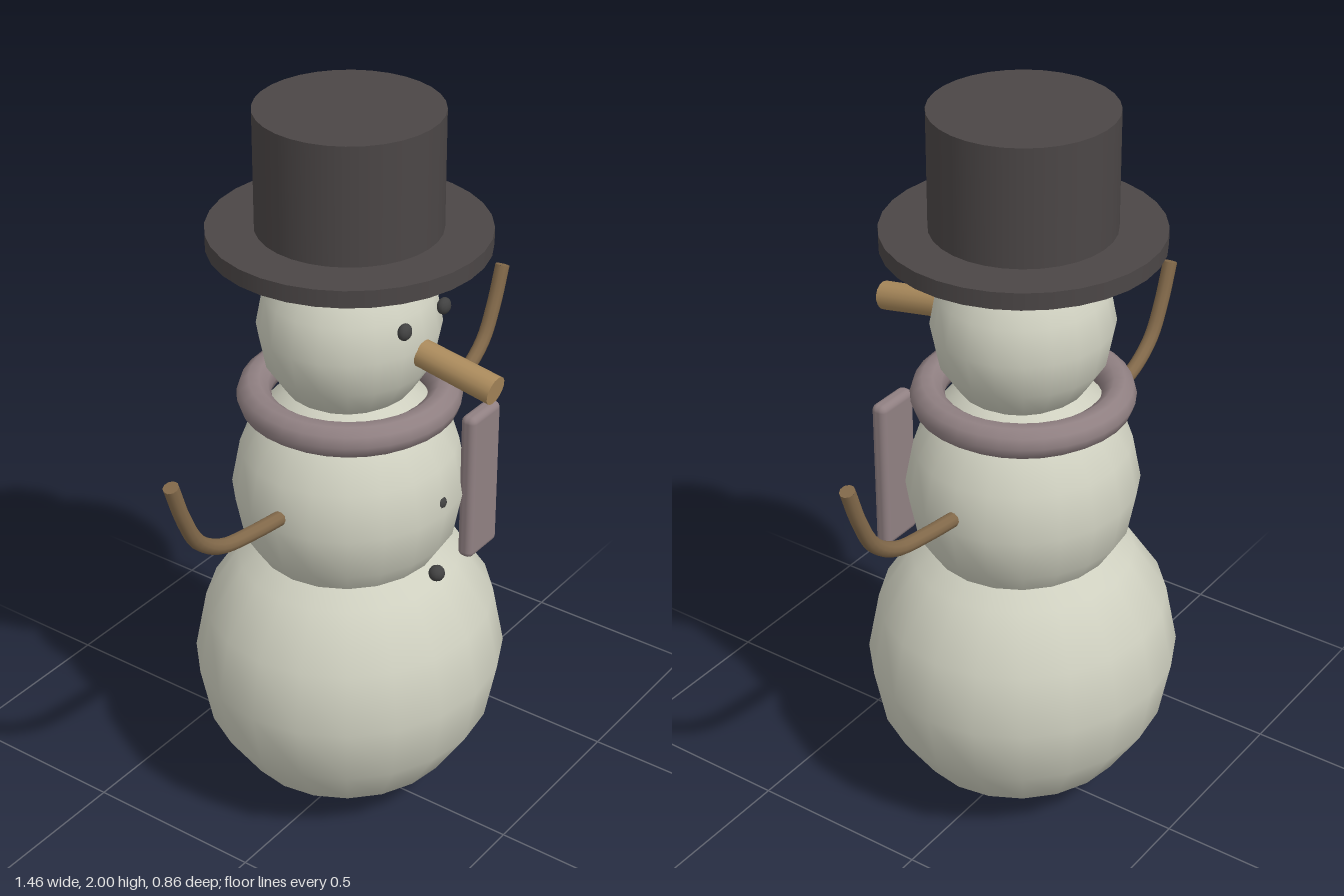
import * as THREE from 'three';
import { RoundedBoxGeometry } from 'three/addons/geometries/RoundedBoxGeometry.js';

const Z = -0.015; // depth of the body axis

export function createModel() {
  const model = new THREE.Group();
  model.name = 'snowman';

  const paint = (name, color) => {
    const m = new THREE.MeshStandardMaterial({ color });
    m.name = name;
    return m;
  };
  const snow = paint('snow', 0xcfd0c0);
  const felt = paint('hat felt', 0x4b4646);
  const wool = paint('scarf wool', 0x908082);
  const wood = paint('stick wood', 0x82694a);
  const carrot = paint('carrot', 0xaa8a5c);
  const coal = paint('coal', 0x424242);

  const add = (name, geometry, material, x, y, z, parent = model) => {
    const mesh = new THREE.Mesh(geometry, material);
    mesh.name = name;
    mesh.position.set(x, y, z);
    parent.add(mesh);
    return mesh;
  };

  // Body: three snowballs, slightly flattened front to back
  for (const [name, r, y] of [['lowerBall', 0.432, 0.436], ['middleBall', 0.317, 0.96], ['head', 0.243, 1.424]]) {
    add(name, new THREE.SphereGeometry(r, 20, 8), snow, 0, y, Z).scale.z = 0.953;
  }

  // Top hat
  add('hatBrim', new THREE.CylinderGeometry(0.357, 0.357, 0.045, 32), felt, 0, 1.668, Z);
  add('hatCrown', new THREE.CylinderGeometry(0.235, 0.235, 0.32, 32), felt, 0, 1.84, Z);

  // Scarf: a ring round the neck and one hanging end
  add('scarfRing', new THREE.TorusGeometry(0.245, 0.045, 10, 32), wool, 0, 1.222, Z).rotation.x = Math.PI / 2;
  add('scarfEnd', new RoundedBoxGeometry(0.132, 0.425, 0.045, 3, 0.018), wool, 0.169, 0.978, 0.277);

  // Eyes and buttons
  const lump = new THREE.SphereGeometry(0.022, 12, 8);
  for (const side of [1, -1]) {
    add(side > 0 ? 'leftEye' : 'rightEye', lump, coal, side * 0.085, 1.5, 0.212).scale.z = 0.75;
  }
  for (const y of [0.77, 0.99]) add('button', lump, coal, 0, y, 0.264);

  // Nose, drooping slightly
  const noseBase = new THREE.Vector3(0, 1.412, 0.16);
  const noseTip = new THREE.Vector3(0, 1.367, 0.423);
  const noseAxis = noseTip.clone().sub(noseBase);
  const nose = add('nose', new THREE.CylinderGeometry(0.038, 0.036, noseAxis.length(), 16), carrot,
    ...noseBase.clone().lerp(noseTip, 0.5).toArray());
  nose.quaternion.setFromUnitVectors(new THREE.Vector3(0, 1, 0), noseAxis.normalize());

  // Arms: bent sticks with flat ends
  for (const side of [1, -1]) {
    const arm = new THREE.Group();
    arm.name = side > 0 ? 'leftArm' : 'rightArm';
    model.add(arm);
    const path = new THREE.CatmullRomCurve3(
      [[0.28, 0.992], [0.42, 1.01], [0.54, 1.036], [0.625, 1.095], [0.675, 1.185], [0.714, 1.293]]
        .map(([x, y]) => new THREE.Vector3(side * x, y, Z + 0.003)));
    add('stick', new THREE.TubeGeometry(path, 24, 0.02, 10), wood, 0, 0, 0, arm);
    for (const t of [0, 1]) {
      const end = path.getPointAt(t);
      const out = path.getTangentAt(t).multiplyScalar(t ? 1 : -1);
      add('stickEnd', new THREE.CircleGeometry(0.02, 10), wood, end.x, end.y, end.z, arm)
        .quaternion.setFromUnitVectors(new THREE.Vector3(0, 0, 1), out);
    }
  }

  return model;
}
